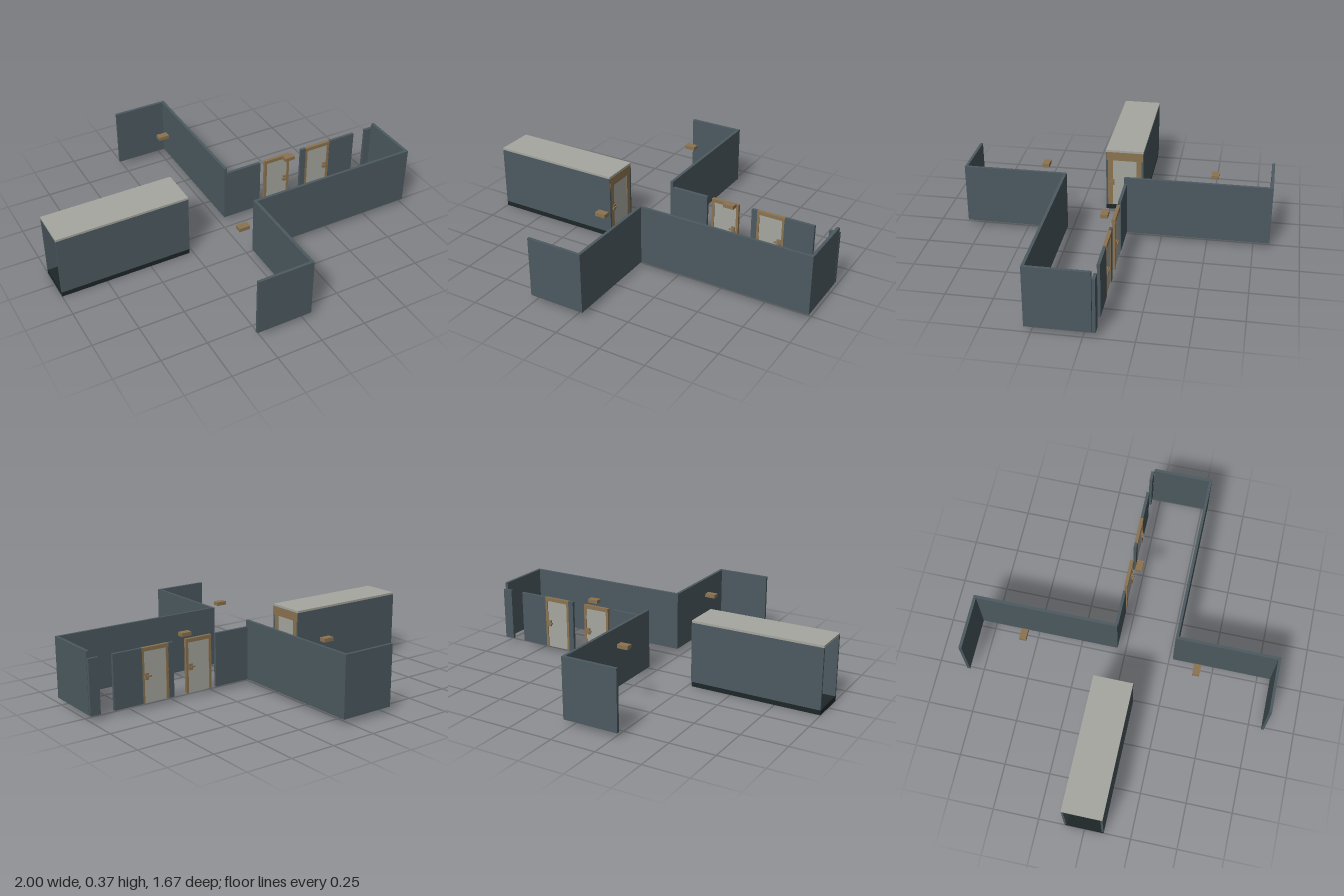
import * as THREE from 'three';

const mat = (name, color) => {
  const m = new THREE.MeshStandardMaterial({ color });
  m.name = name;
  return m;
};

export function createModel() {
  const slate = mat('slate wall', 0x4c5a60);
  const dark = mat('dark floor', 0x1d2628);
  const pale = mat('pale grey panel', 0xa6a79f);
  const brown = mat('brown trim', 0x8b7350);
  const model = new THREE.Group();
  model.name = 'corridorSet';

  // Box from its limits on each axis
  const block = (parent, name, material, [x0, x1], [y0, y1], [z0, z1]) => {
    const mesh = new THREE.Mesh(new THREE.BoxGeometry(x1 - x0, y1 - y0, z1 - z0), material);
    mesh.position.set((x0 + x1) / 2, (y0 + y1) / 2, (z0 + z1) / 2);
    mesh.name = name;
    parent.add(mesh);
    return mesh;
  };

  // Full-height room walls
  const walls = new THREE.Group();
  walls.name = 'roomWalls';
  model.add(walls);
  const full = [0.03, 0.36];
  [
    ['backWingWall', [-0.27, 0.04], [-0.838, -0.822]],
    ['backSideWall', [0.024, 0.04], [-0.822, -0.046]],
    ['endWall', [0.984, 1], [-0.043, 0.27]],
    ['longFrontWall', [0.024, 1], [0.27, 0.285]],
    ['frontSideWall', [0.024, 0.04], [0.285, 0.82]],
    ['frontWingWall', [-0.27, 0.04], [0.82, 0.835]],
  ].forEach(([name, x, z]) => block(walls, name, slate, x, full, z));

  // Lower wall panels between the doors
  [[0.04, 0.25], [0.513, 0.545], [0.7, 0.866], [0.944, 1]].forEach((x) =>
    block(walls, 'doorWallPanel', slate, x, [0.03, 0.325], [-0.062, -0.046]));

  // Framed door centred on x = 0, facing z
  const door = (width, bottom, top, post, head, handleX) => {
    const g = new THREE.Group();
    g.name = 'door';
    const h = width / 2;
    block(g, 'doorLeaf', pale, [-h + post, h - post], [bottom, top - head], [-0.004, 0.004]);
    block(g, 'doorHeader', brown, [-h, h], [top - head, top], [-0.009, 0.009]);
    for (const s of [-1, 1]) {
      const c = s * (h - post / 2);
      block(g, 'doorPost', brown, [c - post / 2, c + post / 2], [bottom, top - head], [-0.008, 0.008]);
      // Lock plate and lever on each face
      const z = s * 0.008;
      block(g, 'lockPlate', brown, [handleX - 0.01, handleX + 0.01], [0.155, 0.19], [z - 0.005, z + 0.005]);
      block(g, 'doorHandle', brown, [handleX - 0.022, handleX + 0.004], [0.17, 0.178], [s * 0.016 - 0.004, s * 0.016 + 0.004]);
    }
    model.add(g);
    return g;
  };
  for (const x of [0.358, 0.623]) door(0.158, 0.03, 0.325, 0.014, 0.02, 0.052).position.set(x, 0, -0.054);

  // Small overhead blocks
  [[-0.116, -0.523], [-0.116, 0.412], [0.405, -0.005]].forEach(([x, z]) =>
    block(model, 'overheadBlock', brown, [x - 0.03, x + 0.03], [0.327, 0.347], [z - 0.019, z + 0.019]));

  // Roofed passage, open at its far end
  const passage = new THREE.Group();
  passage.name = 'passage';
  model.add(passage);
  const run = [-1, -0.27];
  block(passage, 'passageFloor', dark, run, [0, 0.028], [-0.104, 0.104]);
  block(passage, 'passageRoof', pale, run, [0.36, 0.372], [-0.108, 0.105]);
  block(passage, 'passageFrontWall', slate, run, [0.028, 0.36], [0.094, 0.105]);
  block(passage, 'passageBackWall', slate, run, [0.028, 0.36], [-0.108, -0.097]);

  // Door closing the near end of the passage
  const endDoor = door(0.206, 0, 0.36, 0.036, 0.05, -0.068);
  endDoor.name = 'passageDoor';
  endDoor.rotation.y = Math.PI / 2;
  endDoor.position.set(-0.278, 0, -0.001);

  return model;
}
